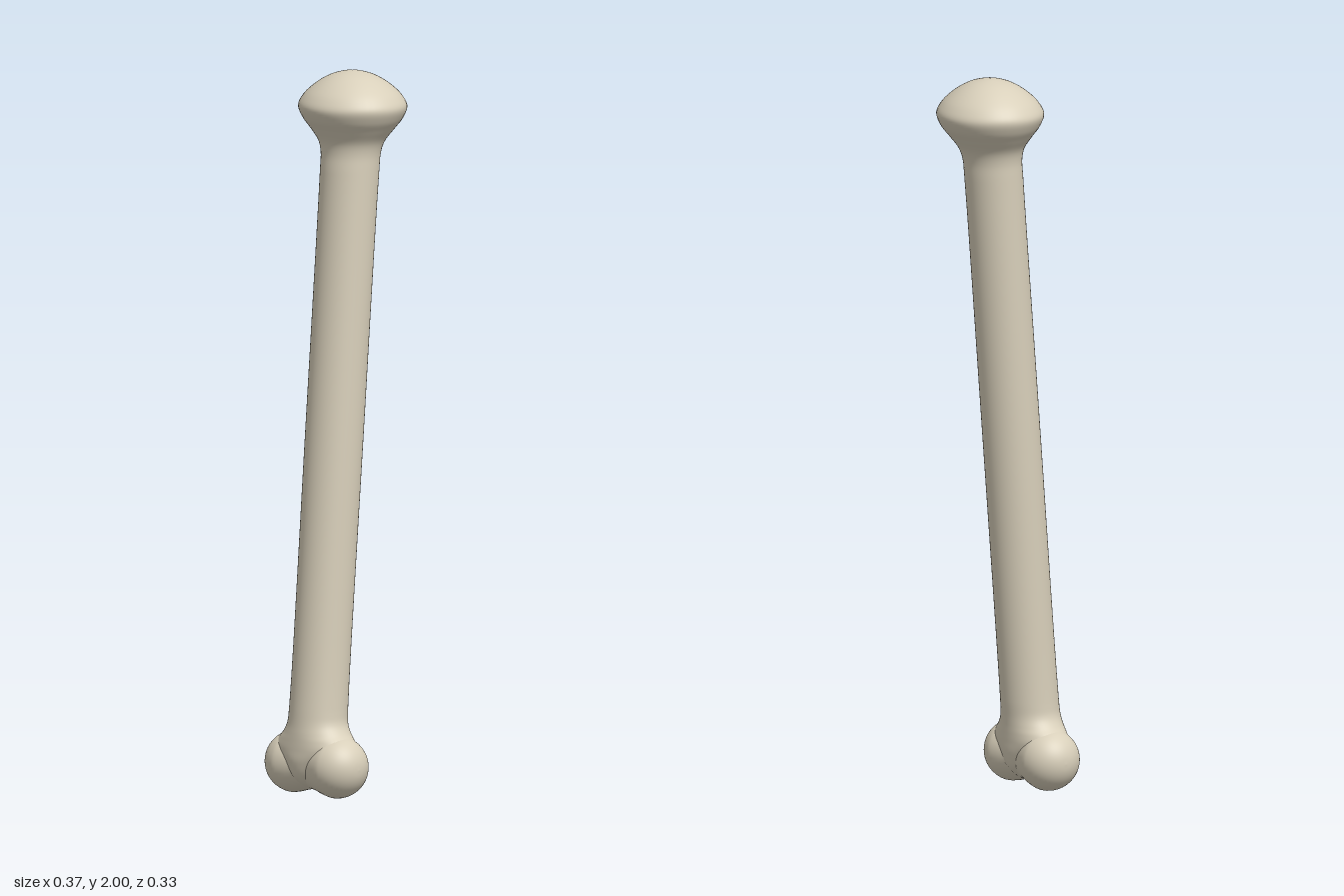
import * as THREE from 'three';

const bone = new THREE.MeshStandardMaterial({ color: 0xd8cfba });
bone.name = 'bone';

// Smooth closed surface through elliptical rings [y, centreX, radiusX, radiusZ]
function loft(rings, steps, sides) {
  const mid = new THREE.CatmullRomCurve3(rings.map(r => new THREE.Vector3(r[1], r[0], 0)), false, 'centripetal');
  const rad = new THREE.CatmullRomCurve3(rings.map(r => new THREE.Vector3(r[2], r[0], r[3])), false, 'centripetal');
  const pos = [], idx = [];
  for (let i = 0; i <= steps; i++) {
    const c = mid.getPoint(i / steps), r = rad.getPoint(i / steps);
    for (let j = 0; j < sides; j++) {
      const a = (j / sides) * Math.PI * 2;
      pos.push(c.x + Math.max(r.x, 0) * Math.cos(a), r.y, Math.max(r.z, 0) * Math.sin(a));
      if (i === steps) continue;
      const p = i * sides + j, q = i * sides + (j + 1) % sides;
      idx.push(p, p + sides, q, q, p + sides, q + sides);
    }
  }
  const g = new THREE.BufferGeometry();
  g.setAttribute('position', new THREE.Float32BufferAttribute(pos, 3));
  g.setIndex(idx);
  g.computeVertexNormals();
  return g;
}

export function createModel() {
  const group = new THREE.Group();
  group.name = 'legBone';

  // Leaning shaft that flares into the rounded head
  const shaft = new THREE.Mesh(loft([
    [0.022, -0.1, 0.001, 0.001], [0.032, -0.1, 0.042, 0.03], [0.06, -0.1, 0.072, 0.06],
    [0.1, -0.1, 0.083, 0.1], [0.135, -0.099, 0.083, 0.138], [0.16, -0.098, 0.082, 0.122],
    [0.18, -0.097, 0.081, 0.102], [0.205, -0.095, 0.08, 0.087], [0.25, -0.091, 0.08, 0.082],
    [1.0, -0.031, 0.08, 0.081], [1.72, 0.027, 0.08, 0.083], [1.775, 0.032, 0.081, 0.085],
    [1.805, 0.035, 0.089, 0.094], [1.84, 0.038, 0.112, 0.12], [1.87, 0.039, 0.134, 0.143],
    [1.902, 0.039, 0.145, 0.155], [1.93, 0.039, 0.132, 0.141], [1.96, 0.039, 0.102, 0.109],
    [1.985, 0.039, 0.062, 0.067], [1.997, 0.039, 0.024, 0.026], [2.0, 0.039, 0.0005, 0.0005],
  ], 120, 48), bone);
  shaft.name = 'shaftAndHead';
  group.add(shaft);

  // Pair of rounded knuckles joined by a waist, turned around the z axis
  const half = [[0.07, 0], [0.073, 0.025], [0.081, 0.055]];
  for (let i = 0; i <= 8; i++) {
    const a = (i / 8) * Math.PI / 2;
    half.push([0.086 * Math.cos(a), 0.082 + 0.085 * Math.sin(a)]);
  }
  const outline = [
    ...half.slice(1).reverse().map(([r, z]) => new THREE.Vector2(r, -z)),
    ...half.map(([r, z]) => new THREE.Vector2(r, z)),
  ];
  const smooth = new THREE.SplineCurve(outline).getPoints(64);
  smooth.forEach(p => { p.x = Math.max(p.x, 0); });
  const knuckles = new THREE.Mesh(new THREE.LatheGeometry(smooth, 40).rotateX(Math.PI / 2), bone);
  knuckles.name = 'knuckles';
  knuckles.position.set(-0.099, 0.089, 0);
  group.add(knuckles);

  return group;
}
